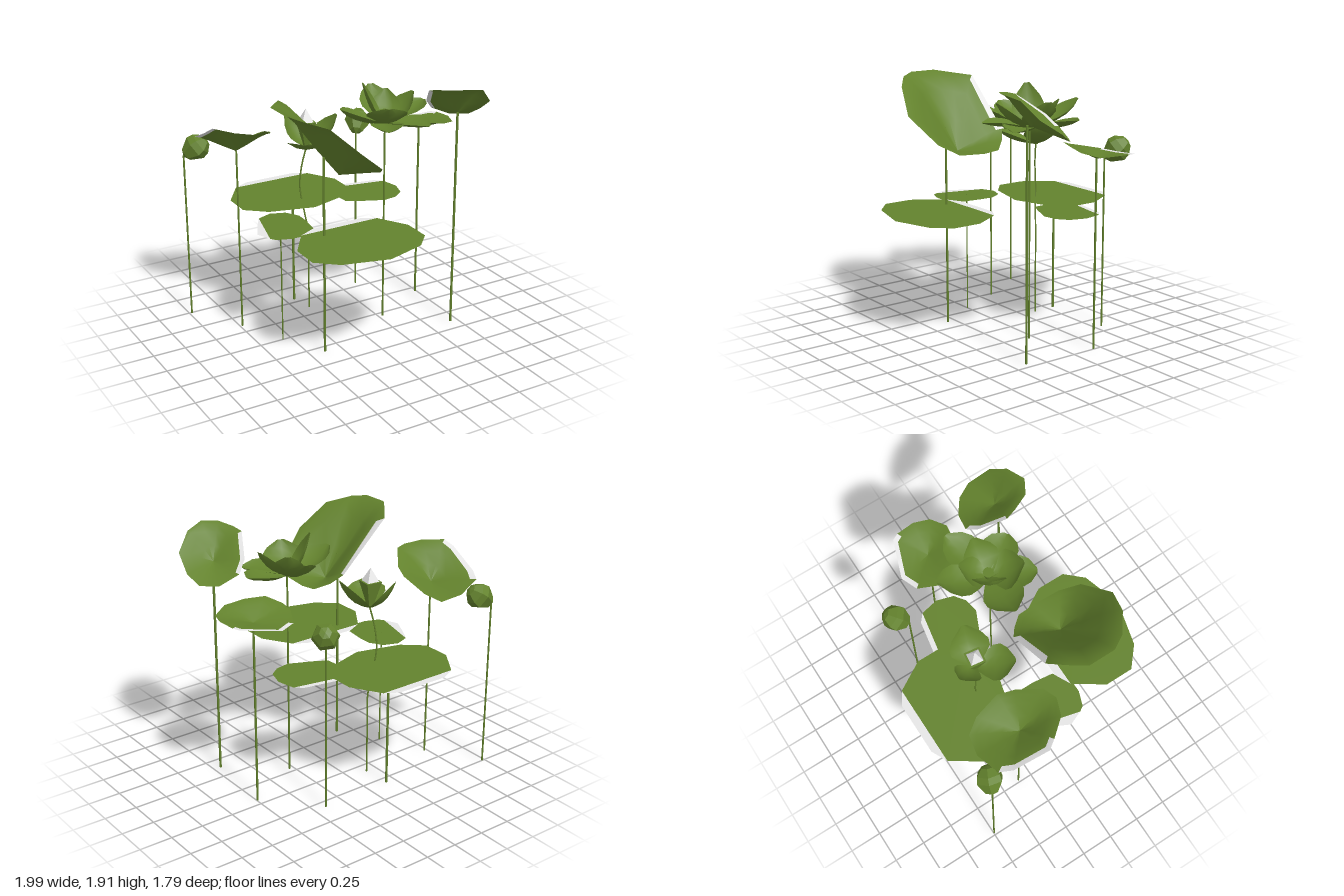
import * as THREE from 'three';

const green = new THREE.MeshStandardMaterial({ color: 0x63822d, side: THREE.DoubleSide });
green.name = 'leaf green';
const pale = new THREE.MeshStandardMaterial({ color: 0xe6e6e6, side: THREE.DoubleSide });
pale.name = 'pale edge';

const V = (p) => new THREE.Vector3(...p);

function add(parent, name, geometry, material) {
  const mesh = new THREE.Mesh(geometry, material);
  mesh.name = name;
  parent.add(mesh);
  return mesh;
}

// Surface from rows of points; isPale decides which quads are pale
function surface(rows, closed, isPale = () => false) {
  const n = rows[0].length, pos = [], tris = [[], []];
  rows.forEach((r) => r.forEach((p) => pos.push(p.x, p.y, p.z)));
  for (let i = 0; i + 1 < rows.length; i++) {
    for (let j = 0; j < (closed ? n : n - 1); j++) {
      const k = (j + 1) % n, a = i * n + j, b = i * n + k;
      tris[isPale(i, j) ? 1 : 0].push(a, a + n, b, b, a + n, b + n);
    }
  }
  const g = new THREE.BufferGeometry();
  g.setAttribute('position', new THREE.Float32BufferAttribute(pos, 3));
  g.setIndex([...tris[0], ...tris[1]]);
  g.addGroup(0, tris[0].length, 0);
  g.addGroup(tris[0].length, tris[1].length, 1);
  g.computeVertexNormals();
  return g;
}

// Cupped leaf: rings from centre to rim, flattening towards high rims, with a pale strip on some rim edges
function cuppedLeaf(parent, name, centre, rim, paleEdges, flare = 0) {
  const c = V(centre);
  const rows = [0.001, 0.35, 0.65, 0.86, 1].map((t) => rim.map((p) => {
    const q = c.clone().lerp(V(p), t);
    q.y += flare * Math.sin(Math.PI * t * t) * Math.max(0, p[1] - c.y);
    return q;
  }));
  add(parent, name, surface(rows, true, (i, j) => i === 3 && paleEdges.includes(j)), [green, pale]);
}

// Flat leaf: a green plate and a pale strip, both [x, z] outlines
function flatLeaf(parent, name, y, outline, strip) {
  [[outline, green, ''], [strip, pale, 'Edge']].forEach(([pts, mat, suffix]) => {
    const g = new THREE.ShapeGeometry(new THREE.Shape(pts.map((p) => new THREE.Vector2(...p))));
    add(parent, name + suffix, g.rotateX(Math.PI / 2).translate(0, y, 0), mat);
  });
}

// Petal: curved from base to tip, widest past the middle, cupped across
function petal(parent, name, base, tip, width) {
  const a = V(base), b = V(tip);
  const out = new THREE.Vector3(b.x - a.x, 0, b.z - a.z);
  const ctrl = a.clone().addScaledVector(out, 0.7);
  ctrl.y = a.y + (b.y - a.y) * 0.15;
  const curve = new THREE.QuadraticBezierCurve3(a, ctrl, b);
  const side = new THREE.Vector3(-out.z, 0, out.x).normalize();
  const widths = [0.15, 0.65, 0.98, 1, 0.75, 0.16];
  const rows = widths.map((w, i) => {
    const t = i / 5, p = curve.getPoint(t), d = curve.getTangent(t);
    const up = new THREE.Vector3().crossVectors(d, side).normalize();
    if (up.y < 0) up.negate();
    return [-1, -0.5, 0, 0.5, 1].map((s) => p.clone()
      .addScaledVector(side, s * w * width / 2)
      .addScaledVector(up, s * s * w * width * 0.18));
  });
  add(parent, name, surface(rows, false), green);
}

function stem(parent, name, x, z, top, r = 0.007) {
  add(parent, name, new THREE.CylinderGeometry(r, r, top, 6).translate(x, top / 2, z), green);
}

function flatFaceted(geometry) {
  const g = geometry.toNonIndexed();
  g.computeVertexNormals();
  return g;
}

export function createModel() {
  const model = new THREE.Group();
  model.name = 'lotusPlants';

  // Flat floating leaves
  const big = [[-0.52, -0.84], [0.11, -0.84], [0.24, -0.62], [0.24, -0.4], [0.12, -0.27], [-0.18, -0.18],
    [-0.52, -0.27], [-0.67, -0.4], [-0.67, -0.62]];
  const bigStrip = [[-0.52, -0.84], [-0.4, -0.9], [0.01, -0.9], [0.11, -0.84]];
  [['backFlatLeaf', 0], ['frontFlatLeaf', 1.072]].forEach(([name, dz]) => {
    const move = (pts) => pts.map(([x, z]) => [x, z + dz]);
    flatLeaf(model, name, 0.93, move(big), move(bigStrip));
  });
  flatLeaf(model, 'leftFlatLeaf', 0.929,
    [[-0.64, -0.2], [-0.735, 0.17], [-0.71, 0.21], [-0.6, 0.25], [-0.48, 0.25], [-0.38, 0.16], [-0.36, 0],
      [-0.36, -0.1], [-0.42, -0.2], [-0.53, -0.24]],
    [[-0.64, -0.2], [-0.71, -0.08], [-0.78, 0.06], [-0.735, 0.17]]);
  flatLeaf(model, 'rightFlatLeaf', 0.929,
    [[0.22, -0.45], [0.55, -0.39], [0.58, -0.25], [0.54, -0.12], [0.46, -0.06], [0.35, -0.04], [0.17, -0.12],
      [0.08, -0.17], [0.07, -0.3], [0.14, -0.41]],
    [[0.22, -0.45], [0.24, -0.485], [0.49, -0.44], [0.55, -0.39]]);

  // Raised cupped leaves
  cuppedLeaf(model, 'largeCuppedLeaf', [-0.25, 1.36, 0.3],
    [[-0.54, 1.86, -0.04], [-0.16, 1.5, -0.04], [-0.08, 1.43, 0.02], [0, 1.38, 0.11], [0.01, 1.37, 0.24],
      [0, 1.38, 0.45], [-0.07, 1.46, 0.59], [-0.3, 1.645, 0.69], [-0.5, 1.83, 0.615], [-0.655, 1.88, 0.5],
      [-0.72, 1.9, 0.39], [-0.72, 1.9, 0.19], [-0.64, 1.88, 0.08]], [0], 0.12);
  cuppedLeaf(model, 'rightFrontCuppedLeaf', [0.7, 1.68, 0.36],
    [[0.48, 1.87, 0.32], [0.58, 1.73, 0.14], [0.66, 1.65, 0.09], [0.81, 1.585, 0.12], [0.92, 1.59, 0.2],
      [0.955, 1.655, 0.3], [0.92, 1.76, 0.46], [0.8, 1.88, 0.53], [0.655, 1.915, 0.58], [0.55, 1.91, 0.52],
      [0.5, 1.89, 0.4]], [0, 1], 0.1);
  cuppedLeaf(model, 'rightBackCuppedLeaf', [0.74, 1.4, -0.19],
    [[0.68, 1.41, -0.45], [0.955, 1.45, -0.35], [0.98, 1.455, -0.3], [0.99, 1.46, -0.16], [0.95, 1.455, -0.04],
      [0.83, 1.48, 0.03], [0.68, 1.5, 0.005], [0.54, 1.505, -0.05], [0.47, 1.47, -0.16], [0.47, 1.45, -0.25],
      [0.55, 1.42, -0.4]], [0, 1, 10], 0.1);
  cuppedLeaf(model, 'leftCuppedLeaf', [-0.73, 1.42, -0.36],
    [[-0.91, 1.48, -0.65], [-0.72, 1.42, -0.7], [-0.56, 1.39, -0.665], [-0.49, 1.435, -0.56],
      [-0.455, 1.52, -0.37], [-0.5, 1.55, -0.25], [-0.62, 1.63, -0.1], [-0.72, 1.63, -0.06],
      [-0.85, 1.65, -0.11], [-0.96, 1.665, -0.24], [-1, 1.62, -0.3], [-0.96, 1.51, -0.56]], [9, 10, 11], 0.1);

  // Open flower: outer then inner petals
  const flower = new THREE.Group();
  flower.name = 'openFlower';
  model.add(flower);
  const base = [0.285, 1.58, 0.045];
  [[-0.08, 1.73, 0.03, 0.29], [0.13, 1.62, 0.35, 0.24], [0.49, 1.6, 0.33, 0.26], [0.69, 1.67, -0.06, 0.26],
    [0.38, 1.77, -0.32, 0.25], [0.14, 1.88, -0.04, 0.24], [0.18, 1.76, 0.27, 0.3], [0.52, 1.79, 0.06, 0.27],
    [0.4, 1.78, -0.13, 0.22]]
    .forEach(([x, y, z, w]) => petal(flower, 'petal', base, [x, y, z], w));
  add(flower, 'seedHead', new THREE.CylinderGeometry(0.04, 0.02, 0.09, 10).translate(0.285, 1.63, 0.04), green);

  // Half-open flower with a pale tip
  const young = new THREE.Group();
  young.name = 'youngFlower';
  model.add(young);
  [[-0.24, 1.57, -0.53, 0.2], [-0.3, 1.46, -0.11, 0.27], [0.08, 1.58, -0.3, 0.29]]
    .forEach(([x, y, z, w]) => petal(young, 'petal', [-0.15, 1.35, -0.355], [x, y, z], w));
  add(young, 'innerBud', flatFaceted(new THREE.CylinderGeometry(0.085, 0.02, 0.2, 4)
    .rotateY(0.65).translate(-0.155, 1.45, -0.355)), green);
  add(young, 'budTip', flatFaceted(new THREE.ConeGeometry(0.065, 0.1, 4)
    .rotateY(0.65).translate(-0.155, 1.6, -0.355)), pale);
  const bend = new THREE.CatmullRomCurve3([[-0.147, 0.01, -0.355], [-0.147, 0.35, -0.355], [-0.147, 0.66, -0.355],
    [-0.17, 0.82, -0.37], [-0.195, 1.03, -0.39], [-0.185, 1.2, -0.375], [-0.15, 1.36, -0.355]].map(V));
  add(young, 'bentStem', new THREE.TubeGeometry(bend, 24, 0.006, 6), green);

  // Closed faceted buds, tapering to the stem and leaning away from it
  const profile = [[0, 0], [0.05, 0.025], [0.1, 0.11], [0.09, 0.16], [0.045, 0.21], [0, 0.22]]
    .map((p) => new THREE.Vector2(...p));
  [['leftBud', [-0.98, 1.3, -0.745], [0.72, 0.58, 0.28]], ['rightBud', [0.4, 1.3, -0.565], [0.48, 0.62, -0.6]]]
    .forEach(([name, foot, lean]) => {
      const bud = add(model, name, flatFaceted(new THREE.LatheGeometry(profile, 6)), green);
      bud.position.set(...foot);
      bud.quaternion.setFromUnitVectors(new THREE.Vector3(0, 1, 0), V(lean).normalize());
    });

  // Straight stems
  [['leftBudStem', -0.98, -0.745, 1.31], ['rightBudStem', 0.4, -0.565, 1.31],
    ['leftLeafStem', -0.73, -0.355, 1.42], ['largeLeafStem', -0.38, 0.315, 1.52, 0.009],
    ['rightFrontLeafStem', 0.69, 0.385, 1.69, 0.009], ['rightBackLeafStem', 0.74, -0.19, 1.4, 0.008],
    ['flowerStem', 0.285, 0.045, 1.6], ['leftFlatLeafStem', -0.565, 0, 0.93, 0.005],
    ['backFlatLeafStem', -0.175, -0.555, 0.93, 0.009]]
    .forEach((s) => stem(model, ...s));

  return model;
}
